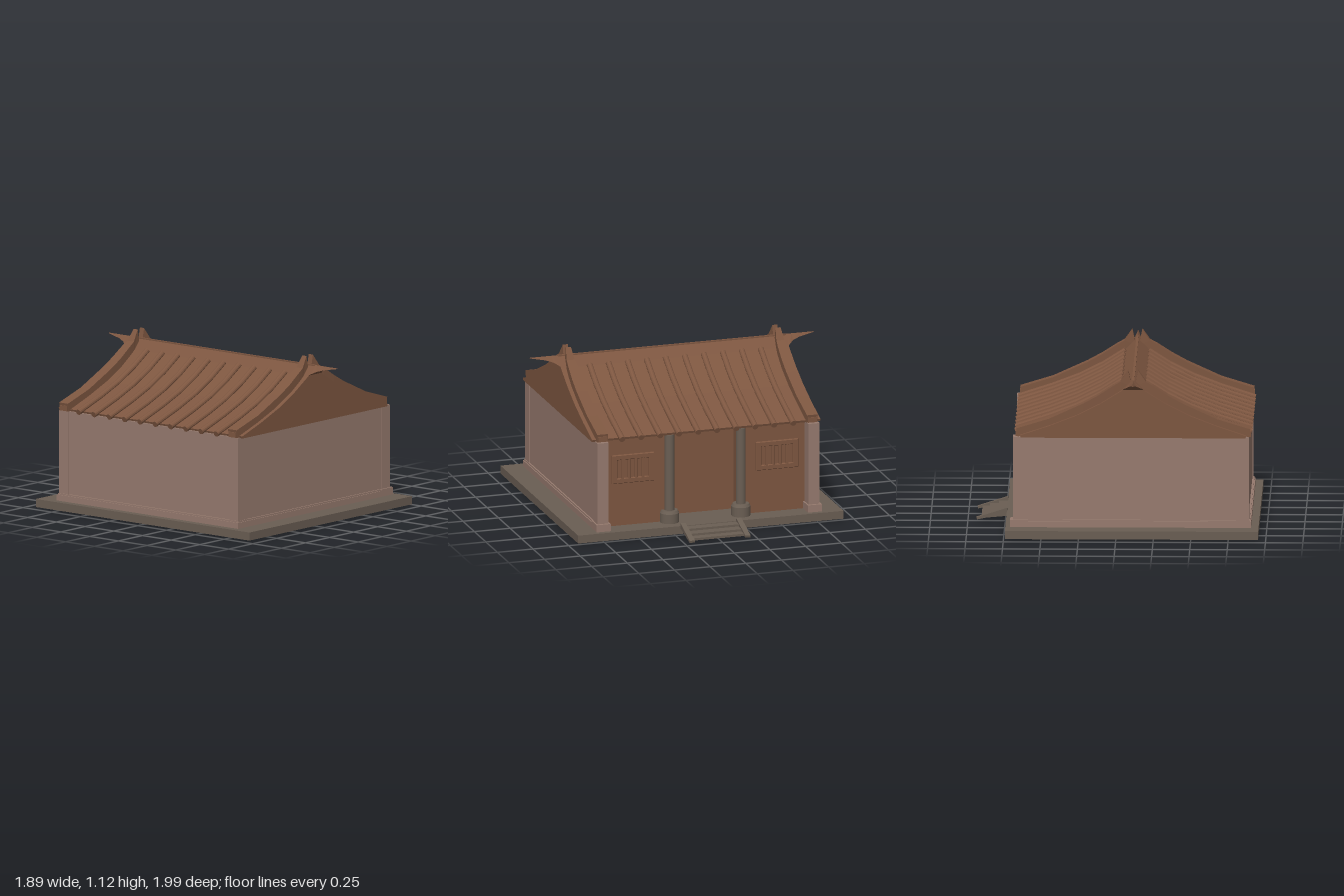
import * as THREE from 'three';

const CX = -0.113; // ridge line, the roof mirrors about it

const wallMat = new THREE.MeshStandardMaterial({ color: 0x967a6e });
wallMat.name = 'clay wall';
const woodMat = new THREE.MeshStandardMaterial({ color: 0x7d5640 });
woodMat.name = 'brown timber and tile';
const stoneMat = new THREE.MeshStandardMaterial({ color: 0x6a5e53 });
stoneMat.name = 'grey stone';

// Closed solid through rings of equal length, facing outward
function loft(rings) {
  const tris = [];
  const n = rings[0].length;
  for (let i = 0; i + 1 < rings.length; i++) {
    for (let j = 0; j < n; j++) {
      const k = (j + 1) % n;
      const [a, b, c, d] = [rings[i][j], rings[i][k], rings[i + 1][k], rings[i + 1][j]];
      tris.push([a, b, c], [a, c, d]);
    }
  }
  const end = rings[rings.length - 1];
  for (let j = 1; j + 1 < n; j++) {
    tris.push([rings[0][0], rings[0][j + 1], rings[0][j]], [end[0], end[j], end[j + 1]]);
  }
  const o = rings[0][0];
  let volume = 0;
  for (const [a, b, c] of tris) {
    const va = a.clone().sub(o), vb = b.clone().sub(o), vc = c.clone().sub(o);
    volume += va.dot(vb.cross(vc));
  }
  const points = tris.flatMap(([a, b, c]) => (volume < 0 ? [a, c, b] : [a, b, c]));
  const geo = new THREE.BufferGeometry().setFromPoints(points);
  geo.computeVertexNormals();
  return geo;
}

const V = (x, y, z) => new THREE.Vector3(x, y, z);

// Half profile of the roof surface: distance from the ridge, height
const slope = [[0.755, 0.685], [0.56, 0.75], [0.38, 0.82], [0.22, 0.9], [0.075, 0.99]];

export function createModel() {
  const group = new THREE.Group();
  const add = (name, geo, mat) => {
    const mesh = new THREE.Mesh(geo, mat);
    mesh.name = name;
    group.add(mesh);
    return mesh;
  };
  // Box from its limits
  const box = (name, mat, x0, x1, y0, y1, z0, z1) => {
    const mesh = add(name, new THREE.BoxGeometry(x1 - x0, y1 - y0, Math.abs(z1 - z0)), mat);
    mesh.position.set((x0 + x1) / 2, (y0 + y1) / 2, (z0 + z1) / 2);
    return mesh;
  };
  const extrude = (name, mat, pts, z0, z1) => {
    const shape = new THREE.Shape(pts.map(([x, y]) => new THREE.Vector2(x, y)));
    const geo = new THREE.ExtrudeGeometry(shape, { depth: z1 - z0, bevelEnabled: false });
    return add(name, geo.translate(0, 0, z0), mat);
  };

  // Platform and entrance steps
  box('platform', stoneMat, -0.95, 0.74, 0.005, 0.06, -0.93, 0.93);
  extrude('steps', stoneMat, [[0.73, 0.02], [0.91, 0.004], [0.91, 0.02], [0.86, 0.022],
    [0.86, 0.037], [0.8, 0.039], [0.8, 0.054], [0.73, 0.056]], -0.18, 0.18);
  for (const s of [-1, 1]) {
    extrude('stepRail', stoneMat, [[0.735, 0.045], [0.94, 0], [0.943, 0.015], [0.74, 0.08]],
      s * 0.195 - 0.018, s * 0.195 + 0.018);
  }

  // Back wall with its plinth
  box('backWall', wallMat, -0.88, -0.82, 0.1, 0.672, -0.77, 0.77);
  box('backPlinth', wallMat, -0.9, -0.8, 0.06, 0.1, -0.79, 0.79);
  box('backLedge', wallMat, -0.893, -0.8, 0.1, 0.11, -0.783, 0.783);

  for (const s of [-1, 1]) {
    // Side wall, plinth and corner posts
    box('sideWall', wallMat, -0.88, 0.62, 0.1, 0.672, s * 0.71, s * 0.773);
    box('sidePlinth', wallMat, -0.9, 0.6, 0.06, 0.1, s * 0.7, s * 0.79);
    box('sideLedge', wallMat, -0.893, 0.6, 0.1, 0.11, s * 0.7, s * 0.783);
    box('backPost', wallMat, -0.887, -0.8, 0.1, 0.672, s * 0.7, s * 0.779);
    box('frontPost', wallMat, 0.608, 0.69, 0.1, 0.672, s * 0.7, s * 0.779);
    box('frontPostBase', wallMat, 0.59, 0.708, 0.06, 0.11, s * 0.69, s * 0.79);

    // Timber front wall and the cheek of the recessed doorway
    box('frontWall', woodMat, 0.56, 0.6, 0.06, 0.672, s * 0.25, s * 0.715);
    box('doorwayCheek', woodMat, 0.44, 0.6, 0.06, 0.672, s * 0.25, s * 0.29);

    // Latticed window
    const frame = new THREE.Shape([[-0.145, -0.095], [0.145, -0.095], [0.145, 0.095],
      [-0.145, 0.095]].map(([x, y]) => new THREE.Vector2(x, y)));
    for (let i = -2; i <= 2; i++) {
      const c = i * 0.048;
      frame.holes.push(new THREE.Path([[c - 0.018, -0.068], [c - 0.018, 0.068],
        [c + 0.018, 0.068], [c + 0.018, -0.068]].map(([x, y]) => new THREE.Vector2(x, y))));
    }
    const win = add('windowLattice', new THREE.ExtrudeGeometry(frame, { depth: 0.01,
      bevelThickness: 0.005, bevelSize: 0.004, bevelSegments: 1 }), woodMat);
    win.rotation.y = Math.PI / 2;
    win.position.set(0.602, 0.455, s * 0.505);

    // Round porch column on a stone drum
    const column = add('column', new THREE.CylinderGeometry(0.033, 0.033, 0.54, 20), stoneMat);
    column.position.set(0.615, 0.4, s * 0.25);
    const drum = add('columnBase', new THREE.LatheGeometry([[0, 0.055], [0.065, 0.055],
      [0.065, 0.055], [0.065, 0.125], [0.065, 0.125], [0.055, 0.143], [0.055, 0.143], [0, 0.143]]
      .map(([r, y]) => new THREE.Vector2(r, y)), 20), stoneMat);
    drum.position.set(0.615, 0, s * 0.25);
  }
  box('doorwayWall', woodMat, 0.42, 0.46, 0.06, 0.672, -0.29, 0.29);

  // Roof body with curved slopes
  const right = slope.map(([u, y]) => [CX + u, y]);
  const left = slope.map(([u, y]) => [CX - u, y]).reverse();
  extrude('roof', woodMat, [[CX - 0.75, 0.67], [CX + 0.75, 0.67], ...right, [CX, 1.06], ...left],
    -0.8, 0.8);

  // Round tile ribs running down both slopes
  const ribPath = [[0.79, 0.682], [0.56, 0.757], [0.38, 0.826], [0.22, 0.906], [0.075, 0.998]];
  for (const m of [-1, 1]) {
    for (let i = 0; i < 10; i++) {
      const z = (i - 4.5) * 0.1333;
      const rings = ribPath.map(([u, y], k) => {
        const p = ribPath[Math.max(k - 1, 0)], q = ribPath[Math.min(k + 1, 4)];
        const len = Math.hypot(p[0] - q[0], q[1] - p[1]);
        const nu = (q[1] - p[1]) / len, ny = (p[0] - q[0]) / len;
        return Array.from({ length: 12 }, (_, j) => {
          const a = (j / 12) * Math.PI * 2, r = 0.02;
          return V(CX + m * (u + nu * r * Math.cos(a)), y + ny * r * Math.cos(a),
            z + r * Math.sin(a));
        });
      });
      add('tileRib', loft(rings), woodMat);
    }
  }

  // Gable verges that taper to upturned horns: distance, bottom, top, half width
  const verge = [[0.77, 0.672, 0.727, 0.038], [0.56, 0.74, 0.795, 0.038], [0.33, 0.835, 0.9, 0.038],
    [0.23, 0.885, 0.955, 0.037], [0.13, 0.945, 1.02, 0.033], [0.085, 0.97, 1.045, 0.028],
    [0.033, 1.01, 1.12, 0.018]];
  for (const s of [-1, 1]) {
    for (const m of [-1, 1]) {
      const rings = verge.map(([u, y0, y1, w], k) => {
        const top = CX + m * (u + (k === 0 ? 0.012 : 0));
        const low = CX + m * (k === 6 ? 0.01 : u);
        const z = s * 0.735;
        return [V(low, y0, z - w), V(low, y0, z + w), V(top, y1, z + w), V(top, y1, z - w)];
      });
      add('verge', loft(rings), woodMat);
      // Small end tile below each verge
      box('vergeEndTile', woodMat, CX + m * 0.77 - 0.015, CX + m * 0.77 + 0.015, 0.675, 0.71,
        s * 0.735 - 0.032, s * 0.735 + 0.032);
    }
    // Ridge spike: z, half width, underside height
    const spike = [[0.79, 0.075, 0.99], [0.81, 0.06, 1.005], [0.84, 0.035, 1.022],
      [0.89, 0.018, 1.037], [0.995, 0.003, 1.056]];
    add('ridgeSpike', loft(spike.map(([z, w, y]) =>
      [V(CX - w, y, s * z), V(CX + w, y, s * z), V(CX, 1.06, s * z)])), woodMat);
  }
  // Slim ridge cap
  box('ridgeCap', woodMat, CX - 0.008, CX + 0.008, 1.03, 1.061, -0.8, 0.8);

  return group;
}
